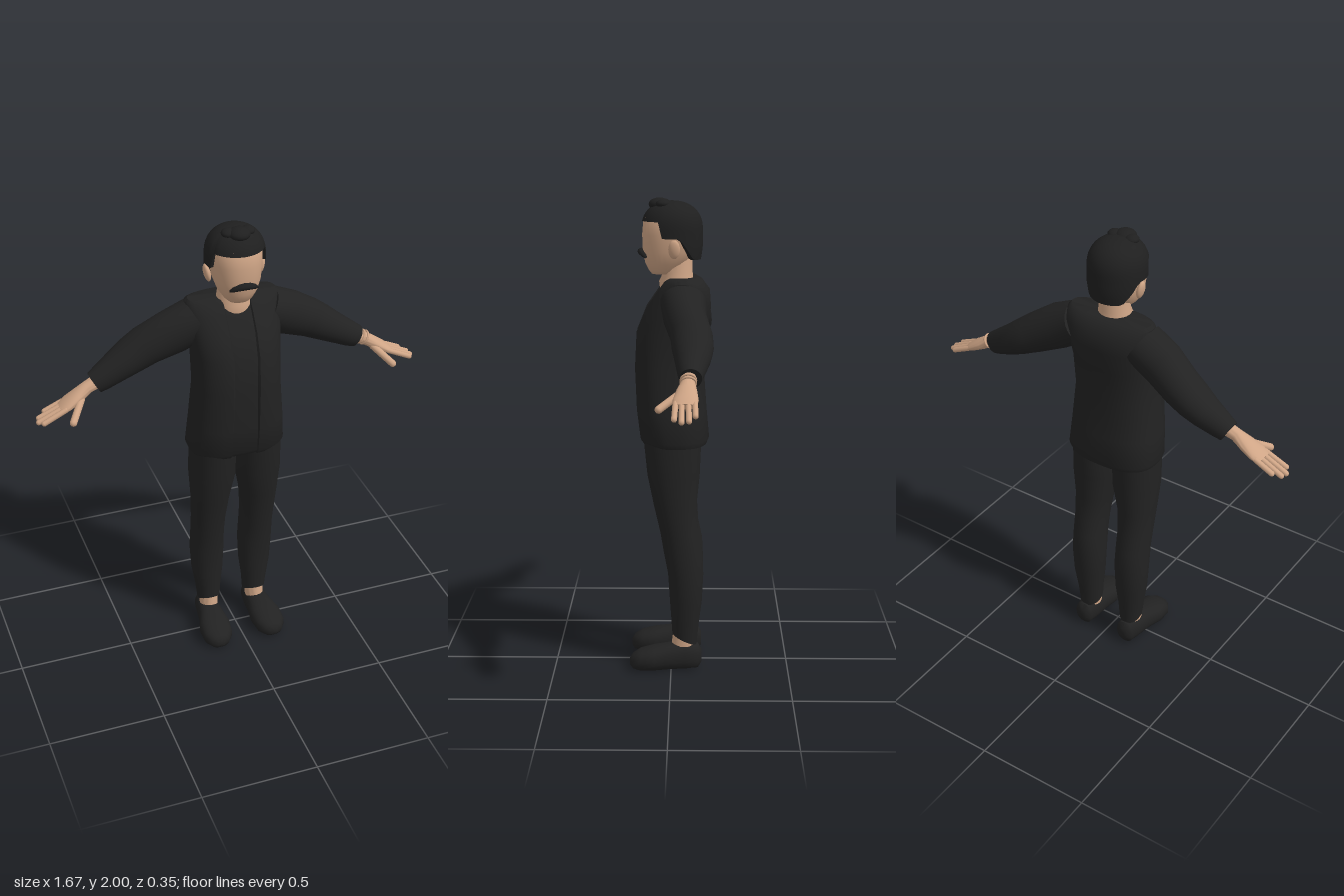
import * as THREE from 'three';
import { toCreasedNormals } from 'three/addons/utils/BufferGeometryUtils.js';

const mat = (name, color) => {
  const m = new THREE.MeshStandardMaterial({ color });
  m.name = name;
  return m;
};
const X = [1, 0, 0], Y = [0, 1, 0], Z = [0, 0, 1];

// Capped skin over rings [cx, cy, cz, ru, rv], running along u cross v.
// p is the superellipse power, s = -1 mirrors in x, tweak may adjust a point.
function loft(rings, u, v, { n = 24, p = 2, s = 1, crease = 0.9, tweak } = {}) {
  const pos = [], idx = [];
  const first = rings[0], last = rings[rings.length - 1];
  const all = [[...first.slice(0, 3), 0, 0], ...rings, [...last.slice(0, 3), 0, 0]];
  const pw = (c) => Math.sign(c) * Math.abs(c) ** (2 / p);
  all.forEach(([cx, cy, cz, a, b], i) => {
    for (let j = 0; j < n; j++) {
      const t = (j / n) * Math.PI * 2, cu = pw(Math.cos(t)) * a, cv = pw(Math.sin(t)) * b;
      const q = [cx, cy, cz].map((c, k) => c + u[k] * cu + v[k] * cv);
      if (tweak) tweak(q, i - 1, j, a > 0 ? Math.cos(t) : 0);
      pos.push(q[0] * s, q[1], q[2]);
      if (i === all.length - 1) continue;
      const A = i * n + j, B = i * n + (j + 1) % n, C = A + n, D = B + n;
      const tris = i === 0 ? [[A, D, C]] : i === all.length - 2 ? [[A, B, C]] : [[A, B, C], [B, D, C]];
      tris.forEach(([e, f, g]) => (s > 0 ? idx.push(e, f, g) : idx.push(e, g, f)));
    }
  });
  const g = new THREE.BufferGeometry();
  g.setAttribute('position', new THREE.Float32BufferAttribute(pos, 3));
  g.setIndex(idx);
  return toCreasedNormals(g, crease);
}

// Rounded finger between two points
function finger(a, b, r) {
  const A = new THREE.Vector3(...a), B = new THREE.Vector3(...b), d = B.clone().sub(A);
  const g = new THREE.CapsuleGeometry(r, d.length(), 4, 10);
  g.applyQuaternion(new THREE.Quaternion().setFromUnitVectors(new THREE.Vector3(0, 1, 0), d.clone().normalize()));
  const m = A.add(B).multiplyScalar(0.5);
  return g.translate(m.x, m.y, m.z);
}

// Hair cap whose lower edge dips from the forehead to the nape
function hairCap() {
  const n = 40, rows = 16, pos = [], idx = [], top = 1.988;
  for (let i = 0; i <= rows + 1; i++) {
    for (let j = 0; j < n; j++) {
      const t = (j / n) * Math.PI * 2, c = Math.cos(t);
      const low = c > 0.35 ? 1.905 : c > -0.25 ? 1.838 : 1.838 - 0.09 * Math.min(1, (-0.25 - c) / 0.5);
      const y = top - (top - low) * Math.min(1, i / rows) ** 2;
      const h = Math.max(0, (y - 1.865) / (top - 1.865));
      const r = (1 - h ** 2.4) ** (1 / 2.2) * (y < 1.8 ? 1 - (1.8 - y) * 1.2 : 1) * (i > rows ? 0.8 : 1);
      pos.push(Math.sin(t) * 0.123 * r, y, -0.002 + c * 0.128 * r);
      if (i > rows) continue;
      const A = i * n + j, B = i * n + (j + 1) % n;
      idx.push(A, A + n, B, B, A + n, B + n);
    }
  }
  const g = new THREE.BufferGeometry();
  g.setAttribute('position', new THREE.Float32BufferAttribute(pos, 3));
  g.setIndex(idx);
  return toCreasedNormals(g, 0.9);
}

export function createModel() {
  const root = new THREE.Group();
  const skin = mat('skin', 0xcfa586), cloth = mat('black cloth', 0x222222);
  const hair = mat('black hair', 0x1f1f1f);
  hair.side = THREE.DoubleSide;
  const add = (name, geo, m) => {
    const mesh = new THREE.Mesh(geo, m);
    mesh.name = name;
    root.add(mesh);
    return mesh;
  };

  // Jacket body, with a recessed shirt strip down the front
  const N = 64;
  add('jacket', loft([
    [0, 0.978, -0.015, 0.135, 0.2], [0, 1.0, -0.012, 0.147, 0.209], [0, 1.12, 0.001, 0.149, 0.199],
    [0, 1.3, 0.011, 0.146, 0.183], [0, 1.45, 0, 0.15, 0.185], [0, 1.55, -0.028, 0.137, 0.195],
    [0, 1.62, -0.05, 0.11, 0.2], [0, 1.66, -0.05, 0.08, 0.197], [0, 1.672, -0.05, 0.058, 0.185],
  ], Z, X, { n: N, p: 2.5, crease: 0.7, tweak: (q, i, j) => {
    if (i < 0 || i > 8) return;
    const k = j > N / 2 ? j - N : j;
    if (Math.abs(k) <= 2) q[2] -= 0.012;
    if (Math.abs(k) === 3) q[0] = Math.sign(k) * 0.058;
  } }), cloth);

  // Neck and head
  add('neck', loft([
    [0, 1.6, -0.03, 0.075, 0.08], [0, 1.655, -0.02, 0.072, 0.074],
    [0, 1.69, -0.026, 0.062, 0.065], [0, 1.78, -0.025, 0.06, 0.062],
  ], Z, X), skin);
  add('head', loft([
    [0, 1.687, 0.04, 0.042, 0.046], [0, 1.7, 0.035, 0.058, 0.06], [0, 1.73, 0.022, 0.087, 0.08],
    [0, 1.78, 0.01, 0.11, 0.097], [0, 1.85, 0.004, 0.118, 0.104], [0, 1.92, 0, 0.116, 0.105],
    [0, 1.955, 0, 0.085, 0.08],
  ], Z, X, { n: 32, p: 2.2 }), skin);
  add('hair', hairCap(), hair);
  [[0, 0.05, 0.045], [-0.04, 0.035, 0.03], [0.04, 0.035, 0.03]].forEach(([x, z, r]) => {
    const tuft = add('hairTuft', new THREE.SphereGeometry(r, 16, 10), hair);
    tuft.scale.y = 0.6;
    tuft.position.set(x, 2 - r * 0.6 - Math.abs(x) * 0.15, z);
  });

  // Drooping moustache
  add('moustache', loft([-1, -0.75, -0.4, 0, 0.4, 0.75, 1].map((k) => {
    const w = Math.sqrt(1.08 - k * k);
    return [k * 0.06, 1.779 - 0.02 * k * k, 0.124 - 0.018 * k * k, 0.014 * w, 0.017 * w];
  }), Y, Z, { n: 12 }), hair);

  for (const s of [1, -1]) {
    const side = s > 0 ? 'left' : 'right';
    const ear = add(side + 'Ear', new THREE.SphereGeometry(1, 16, 12), skin);
    ear.scale.set(0.014, 0.04, 0.024);
    ear.position.set(s * 0.114, 1.795, -0.012);
    ear.rotation.z = -s * 0.2;

    // Sleeve, wrist and palm
    const up = [0.5, 0.866, 0];
    add(side + 'Sleeve', loft([
      [0.15, 1.582, -0.05, 0.088, 0.095], [0.25, 1.53, -0.058, 0.096, 0.088], [0.357, 1.472, -0.085, 0.084, 0.085],
      [0.42, 1.434, -0.09, 0.075, 0.083], [0.475, 1.4, -0.09, 0.066, 0.072], [0.55, 1.357, -0.084, 0.055, 0.053],
      [0.579, 1.342, -0.082, 0.049, 0.045],
    ], up, Z, { s }), cloth);
    add(side + 'Palm', loft([
      [0.56, 1.353, -0.078, 0.03, 0.03], [0.61, 1.333, -0.073, 0.027, 0.027], [0.65, 1.308, -0.068, 0.026, 0.04],
      [0.7, 1.279, -0.064, 0.021, 0.05], [0.73, 1.262, -0.062, 0.013, 0.045],
    ], up, Z, { s }), skin);

    // Fingers: base z, tip x, tip z
    [[-0.1, 0.79, -0.102], [-0.075, 0.82, -0.078], [-0.05, 0.826, -0.05], [-0.026, 0.81, -0.022]].forEach(([z0, x, z1]) =>
      add(side + 'Finger', finger([s * 0.715, 1.271, z0], [s * x, 1.221 + (0.826 - x) * 0.45, z1], 0.0115), skin));
    add(side + 'Thumb', finger([s * 0.645, 1.298, -0.045], [s * 0.703, 1.245, 0.038], 0.0155), skin);

    // Trouser leg with a hem that lifts at the front
    add(side + 'TrouserLeg', loft([
      [0.108, 0.13, -0.057, 0.052, 0.05], [0.11, 0.2, -0.06, 0.058, 0.056], [0.112, 0.3, -0.063, 0.068, 0.07],
      [0.113, 0.42, -0.062, 0.075, 0.076], [0.113, 0.52, -0.05, 0.082, 0.073], [0.113, 0.6, -0.035, 0.08, 0.075],
      [0.11, 0.72, -0.017, 0.09, 0.083], [0.102, 0.85, -0.01, 0.11, 0.1], [0.1, 1.02, -0.005, 0.122, 0.099],
    ], Z, X, { s, p: 2.1, tweak: (q, i, j, c) => { if (i === 0) q[1] += 0.025 * c; } }), cloth);
    add(side + 'Ankle', loft([
      [0.11, 0.08, -0.05, 0.052, 0.04], [0.11, 0.13, -0.053, 0.048, 0.042], [0.11, 0.18, -0.057, 0.045, 0.042],
    ], Z, X, { s }), skin);

    // Shoe, flattened underneath
    add(side + 'Shoe', loft([
      [0.113, 0.055, -0.13, 0.022, 0.028], [0.113, 0.056, -0.115, 0.042, 0.053], [0.114, 0.057, -0.06, 0.05, 0.06],
      [0.117, 0.055, 0, 0.056, 0.058], [0.122, 0.048, 0.07, 0.071, 0.052], [0.125, 0.04, 0.13, 0.065, 0.045],
      [0.126, 0.034, 0.163, 0.042, 0.032], [0.126, 0.032, 0.176, 0.016, 0.015],
    ], X, Y, { s, p: 2.4, tweak: (q) => { q[1] = Math.max(0, q[1]); } }), cloth);
  }

  // Bracelets on the left wrist
  [0.598, 0.614].forEach((x) => {
    const band = add('leftBracelet', new THREE.TorusGeometry(0.029, 0.005, 8, 24), skin);
    band.position.set(x, 1.34 - (x - 0.598) * 0.5, -0.074);
    band.rotation.set(0, Math.PI / 2, -0.52, 'ZYX');
  });
  return root;
}
